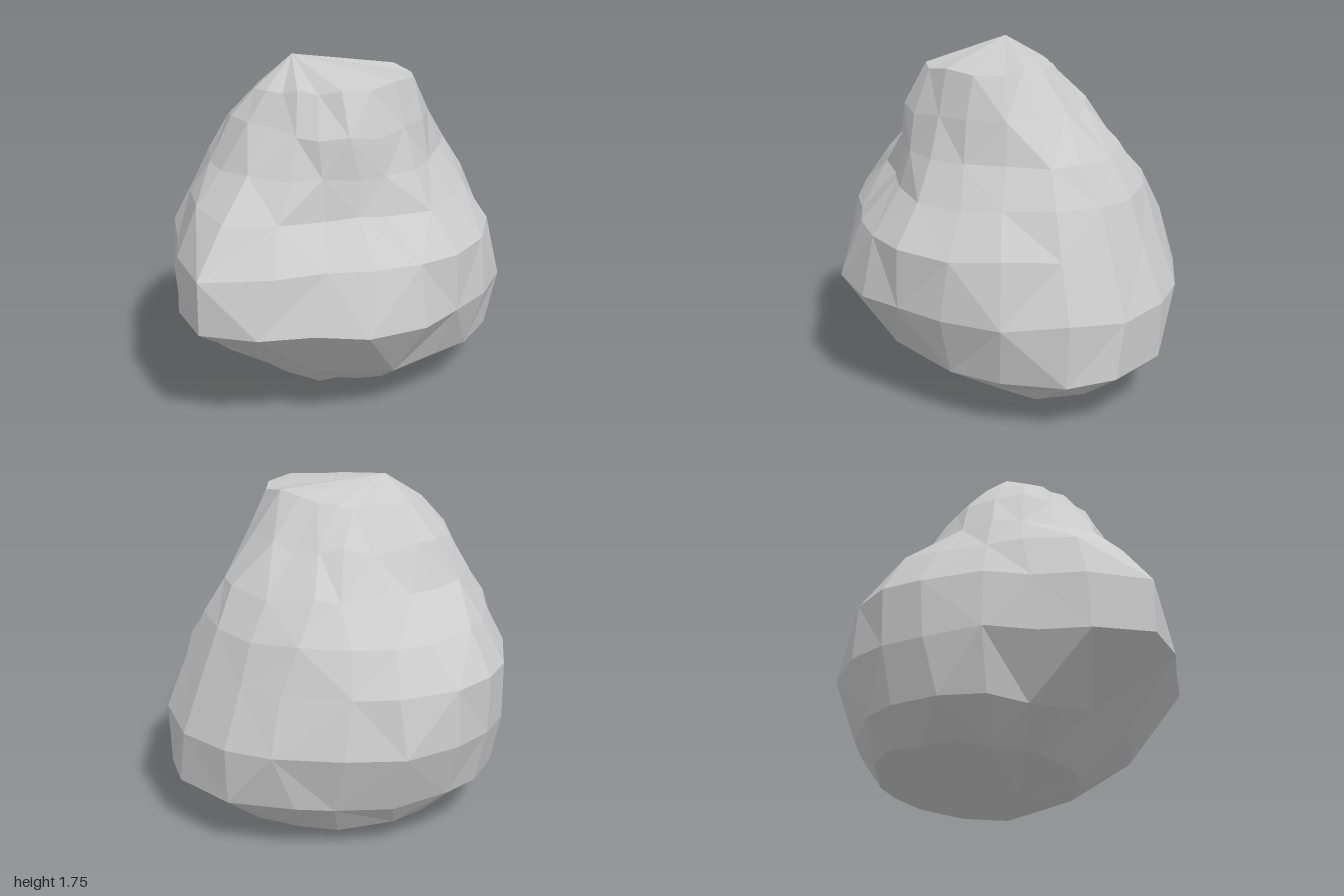
import * as THREE from 'three';

// Cross-sections: height, sideways and lengthwise tilt,
// then 12 radii running from the left (+x) through the front (+z)
const sections = [
  [0.085, -0.05, 0, [.40, .34, .32, .32, .36, .48, .60, .70, .72, .77, .75, .54]],
  [0.26, 0, 0, [.72, .63, .57, .57, .60, .73, .79, .81, .84, .98, 1.02, .85]],
  [0.56, 0, 0, [.85, .88, .85, .99, .80, .80, .86, .92, .92, .99, 1.02, .93]],
  [0.85, 0, 0, [.84, .77, .76, .99, .79, .79, .87, .87, .83, .87, .90, .87]],
  [1.07, 0, 0, [.68, .58, .58, .80, .71, .68, .74, .73, .74, .79, .81, .72]],
  [1.25, 0, 0, [.58, .54, .53, .60, .59, .58, .52, .53, .59, .67, .70, .58]],
  [1.45, 0, 0, [.51, .52, .48, .42, .47, .48, .41, .41, .43, .47, .53, .55]],
  [1.64, 0.07, -0.04, [.45, .42, .34, .32, .36, .31, .27, .25, .26, .29, .36, .48]],
];
const SIDES = 20;

// Small seeded generator, -1 to 1
function seeded(seed) {
  return () => {
    seed = (seed * 16807) % 2147483647;
    return (seed / 2147483647) * 2 - 1;
  };
}

// Smooth closed interpolation of the radii, t from 0 to 1 around the section
function radiusAt(radii, t) {
  const n = radii.length;
  const i = Math.floor(t * n);
  const f = t * n - i;
  const [a, b, c, d] = [-1, 0, 1, 2].map((o) => radii[(i + o + n) % n]);
  return b + 0.5 * f * (c - a + f * (2 * a - 5 * b + 4 * c - d + f * (3 * (b - c) + d - a)));
}

function boulderGeometry() {
  const rand = seeded(4127);
  const pos = [];
  const index = [];

  // Rings, with vertices nudged along the surface for irregular facets
  for (const [y, tiltX, tiltZ, radii] of sections) {
    for (let i = 0; i < SIDES; i++) {
      const shift = i % 5 === 0 ? 0 : rand() * 0.2;
      const t = (i + shift) / SIDES;
      const r = radiusAt(radii, t);
      const x = Math.cos(t * Math.PI * 2) * r;
      const z = Math.sin(t * Math.PI * 2) * r;
      pos.push(x, y + tiltX * x + tiltZ * z + rand() * 0.02, z);
    }
  }

  // Side facets with alternating diagonals
  for (let k = 0; k < sections.length - 1; k++) {
    for (let i = 0; i < SIDES; i++) {
      const a = k * SIDES + i;
      const b = k * SIDES + ((i + 1) % SIDES);
      const d = a + SIDES;
      const c = b + SIDES;
      if ((i + k) % 2) index.push(a, d, b, b, d, c);
      else index.push(a, d, c, a, c, b);
    }
  }

  // Underside point and summit
  const bottom = pos.length / 3;
  const summit = bottom + 1;
  pos.push(0.08, 0, -0.05, -0.13, 1.75, 0.08);
  const last = (sections.length - 1) * SIDES;
  for (let i = 0; i < SIDES; i++) {
    const j = (i + 1) % SIDES;
    index.push(bottom, i, j, summit, last + j, last + i);
  }

  const geo = new THREE.BufferGeometry();
  geo.setAttribute('position', new THREE.Float32BufferAttribute(pos, 3));
  geo.setIndex(index);
  geo.computeVertexNormals();
  return geo;
}

export function createModel() {
  const group = new THREE.Group();
  group.name = 'rock';
  const boulder = new THREE.Mesh(
    boulderGeometry(),
    new THREE.MeshStandardMaterial({ color: 0xcccccc, flatShading: true })
  );
  boulder.name = 'boulder';
  group.add(boulder);
  return group;
}
